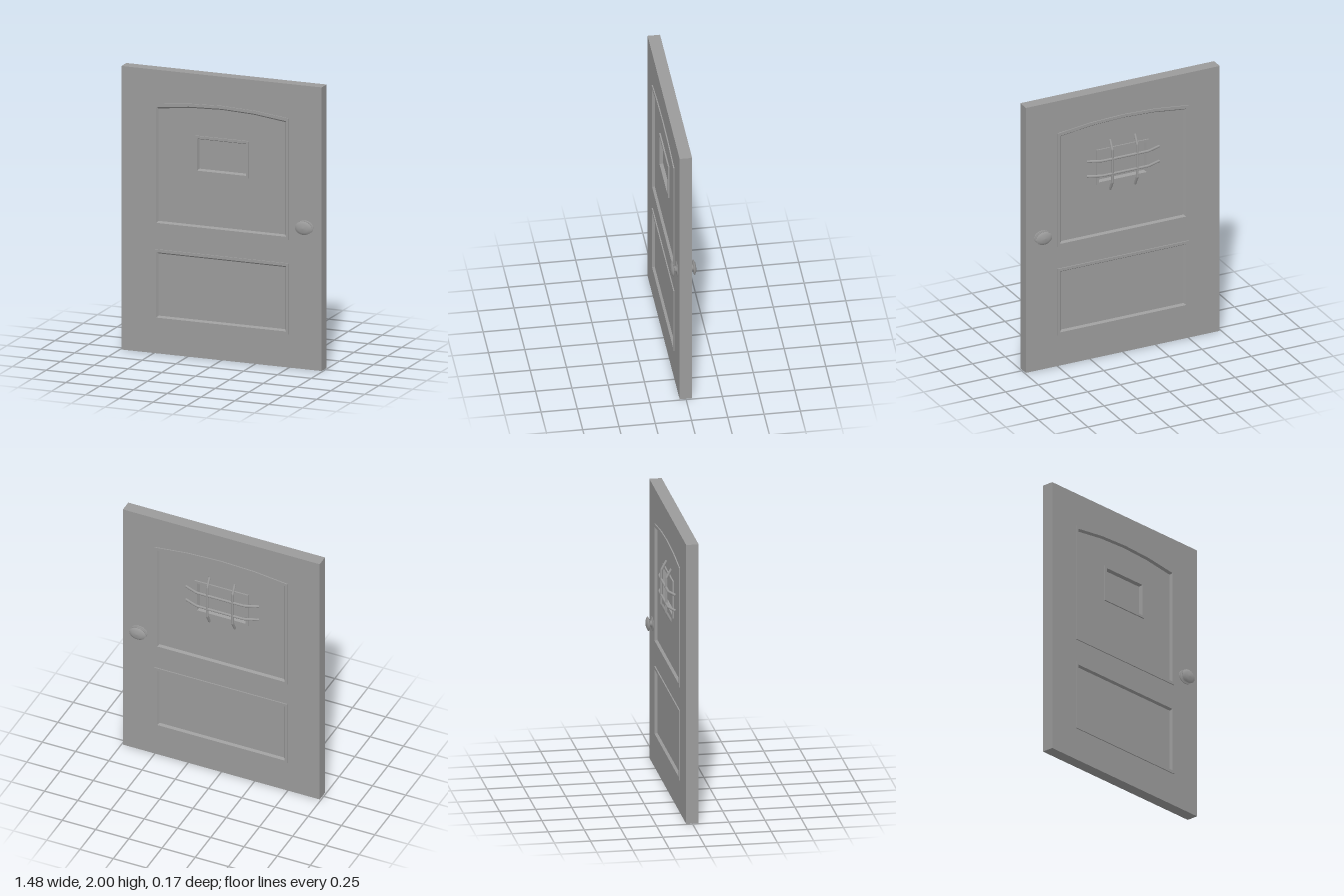
import * as THREE from 'three';

const grey = new THREE.MeshStandardMaterial({ color: 0x9b9b9b });
const PANEL_Z = 0.034, DOOR_Z = 0.043, PANE_Z = 0.02;

function add(parent, name, geometry) {
  const mesh = new THREE.Mesh(geometry, grey);
  mesh.name = name;
  parent.add(mesh);
  return mesh;
}

// Counter-clockwise outline, inset by d; rise lifts the middle of the top edge into an arch
function outline(p, d) {
  const w = p.w - d, pts = [[-w, p.bottom + d], [w, p.bottom + d]];
  const n = p.rise ? 4 : 1;
  for (let i = 0; i <= n; i++) {
    const t = 1 - (2 * i) / n;
    pts.push([t * w, p.top - d + (p.rise || 0) * (1 - t * t)]);
  }
  return pts.map(([x, y]) => new THREE.Vector2(x, y));
}

// Solid sheet of half thickness z with openings
function sheet(points, holes, z) {
  const shape = new THREE.Shape(points);
  for (const h of holes) shape.holes.push(new THREE.Path(h));
  return new THREE.ExtrudeGeometry(shape, { depth: 2 * z, bevelEnabled: false }).translate(0, 0, -z);
}

// Moulding: mitred loops lofted through [inset, z] steps
function moulding(p, steps) {
  const loops = steps.map(([d, z]) => outline(p, d).map((v) => [v.x, v.y, z]));
  const pos = [];
  for (let k = 0; k + 1 < loops.length; k++) {
    const lo = loops[k], hi = loops[k + 1];
    for (let i = 0; i < lo.length; i++) {
      const j = (i + 1) % lo.length;
      pos.push(...lo[i], ...lo[j], ...hi[j], ...lo[i], ...hi[j], ...hi[i]);
    }
  }
  const g = new THREE.BufferGeometry();
  g.setAttribute('position', new THREE.Float32BufferAttribute(pos, 3));
  g.computeVertexNormals();
  return g;
}

// Bar, straight between ±flat, with its ends bent back to the panel
function bar(half, flat) {
  const pts = [[-half, -0.034], [-flat, -0.071], [flat, -0.071], [half, -0.034]]
    .map(([x, z]) => new THREE.Vector3(x, 0, z));
  const path = new THREE.CurvePath();
  for (let i = 0; i + 1 < pts.length; i++) path.add(new THREE.LineCurve3(pts[i], pts[i + 1]));
  return new THREE.TubeGeometry(path, 40, 0.0095, 8);
}

export function createModel() {
  const door = new THREE.Group();
  door.name = 'door';

  const upper = { w: 0.5, bottom: 0.902, top: 1.757, rise: 0.038 };
  const lower = { w: 0.5, bottom: 0.234, top: 0.735 };
  const window_ = { w: 0.2, bottom: 1.301, top: 1.564 };

  // Slab and recessed panels
  const slab = outline({ w: 0.74, bottom: 0, top: 2 }, 0);
  add(door, 'slab', sheet(slab, [outline(upper, 0.01), outline(lower, 0.01)], DOOR_Z));
  add(door, 'upperPanel', sheet(outline(upper, 0.005), [outline(window_, 0.01)], PANEL_Z));
  add(door, 'lowerPanel', sheet(outline(lower, 0.005), [], PANEL_Z));
  add(door, 'windowPane', sheet(outline(window_, 0.005), [], PANE_Z));

  // Knob profile, turned around the axis pointing out of the door
  const knobProfile = [
    [0, 0.042], [0.062, 0.042], [0.062, 0.045], [0.056, 0.048], [0.025, 0.048], [0.024, 0.066],
    [0.045, 0.066], [0.0615, 0.071], [0.0615, 0.075], [0.038, 0.085], [0, 0.0875],
  ].map(([r, h]) => new THREE.Vector2(r, h));

  // Mouldings and knob, the same on both faces
  for (const side of [1, -1]) {
    const face = new THREE.Group();
    face.name = side > 0 ? 'frontFace' : 'backFace';
    if (side < 0) face.rotation.y = Math.PI;
    const steps = [[0, 0.042], [0, 0.051], [0.02, 0.051], [0.032, PANEL_Z - 0.001]];
    add(face, 'upperMoulding', moulding(upper, steps));
    add(face, 'lowerMoulding', moulding(lower, steps));
    add(face, 'windowMoulding', moulding(window_,
      [[0, PANEL_Z - 0.001], [0, 0.044], [0.018, 0.044], [0.028, PANE_Z - 0.001]]));
    const knob = add(face, 'knob', new THREE.LatheGeometry(knobProfile, 28).rotateX(Math.PI / 2));
    knob.scale.y = 0.77;
    knob.position.set(side * 0.617, 1.002, 0);
    door.add(face);
  }

  // Window grille on the back
  const grille = new THREE.Group();
  grille.name = 'windowGrille';
  for (const y of [1.378, 1.49]) add(grille, 'horizontalBar', bar(0.275, 0.178)).position.set(-0.006, y, 0);
  for (const x of [-0.097, 0.093]) {
    const b = add(grille, 'verticalBar', bar(0.188, 0.12));
    b.rotation.z = Math.PI / 2;
    b.position.set(x, 1.435, 0);
  }
  door.add(grille);
  return door;
}
